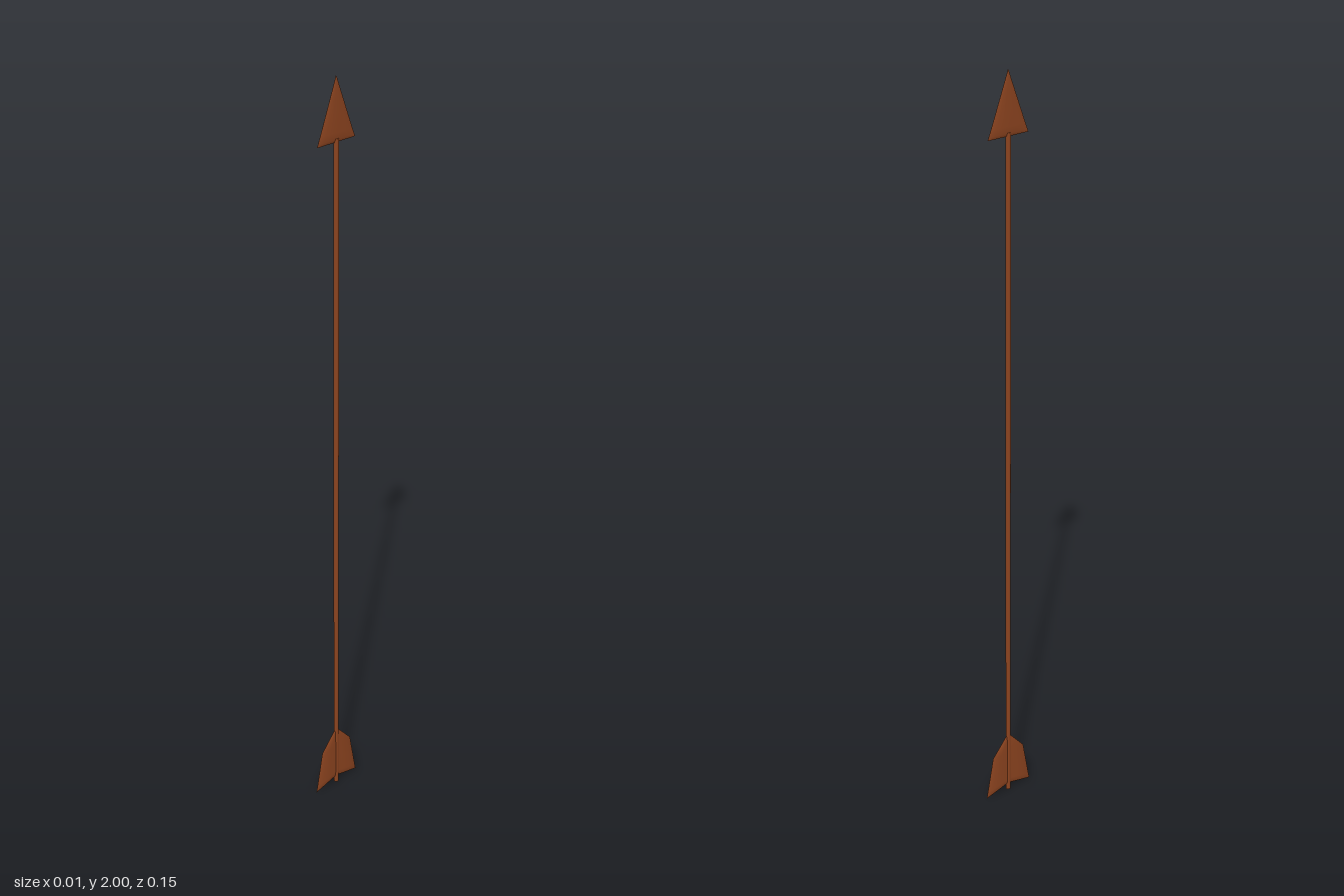
import * as THREE from 'three';

const material = new THREE.MeshStandardMaterial({ color: 0x8b431f });

// Smooth cushioned blade, symmetrical across the shaft.
// rows, top to bottom: [inner y, outer y, outer z, thickness scale]
// profile, centre to outer edge: [fraction across, half thickness]
function blade(name, rows, profile) {
  const across = [...profile.slice(1).reverse().map(([t, half]) => [-t, half]), ...profile];
  const n = across.length, ring = 2 * n;
  const pos = [], index = [];
  for (const [yIn, yOut, zOut, scale] of rows) {
    for (let k = 0; k < ring; k++) {
      const [t, half] = across[k < n ? k : ring - 1 - k];
      pos.push((k < n ? 1 : -1) * half * scale, yIn + (yOut - yIn) * Math.abs(t), zOut * t);
    }
  }
  for (let r = 0; r < rows.length - 1; r++) {
    for (let k = 0; k < ring; k++) {
      const a = r * ring + k, b = r * ring + (k + 1) % ring;
      index.push(a, b, a + ring, b, b + ring, a + ring);
    }
  }
  // Thin closed lower edge
  const base = (rows.length - 1) * ring;
  for (let k = 0; k < n - 1; k++) {
    const p = base + k, m = base + ring - 1 - k;
    index.push(p, p + 1, m, p + 1, m - 1, m);
  }
  const geometry = new THREE.BufferGeometry();
  geometry.setAttribute('position', new THREE.Float32BufferAttribute(pos, 3));
  geometry.setIndex(index);
  geometry.computeVertexNormals();
  const mesh = new THREE.Mesh(geometry, material);
  mesh.name = name;
  return mesh;
}

export function createModel() {
  const arrow = new THREE.Group();
  arrow.name = 'arrow';

  // Slender round shaft, from the nock up to the head
  const length = 1.855;
  const shaft = new THREE.Mesh(new THREE.CylinderGeometry(0.0065, 0.0065, length, 20), material);
  shaft.name = 'shaft';
  shaft.position.y = length / 2;
  arrow.add(shaft);

  // Flat triangular head, nearly full thickness until close to its tip
  arrow.add(blade('head', [
    [2, 2, 0.0005, 0.3],
    [1.95, 1.95, 0.02, 0.9],
    [1.87, 1.87, 0.051, 1],
    [1.853, 1.853, 0.058, 0.8],
    [1.846, 1.846, 0.061, 0.15],
  ], [[0, 0.0042], [0.35, 0.0042], [0.7, 0.0032], [0.9, 0.0015], [1, 0.0002]]));

  // Feathers, fullest in the middle of each vane, with a swept lower edge
  arrow.add(blade('feathers', [
    [0.182, 0.182, 0.001, 0.3],
    [0.155, 0.153, 0.026, 0.8],
    [0.125, 0.122, 0.053, 1],
    [0.035, 0.02, 0.072, 1],
    [0.024, 0.007, 0.0745, 0.8],
    [0.018, 0, 0.076, 0.15],
  ], [[0, 0.0035], [0.25, 0.0044], [0.55, 0.0052], [0.8, 0.0037], [0.93, 0.0017], [1, 0.0002]]));

  return arrow;
}
